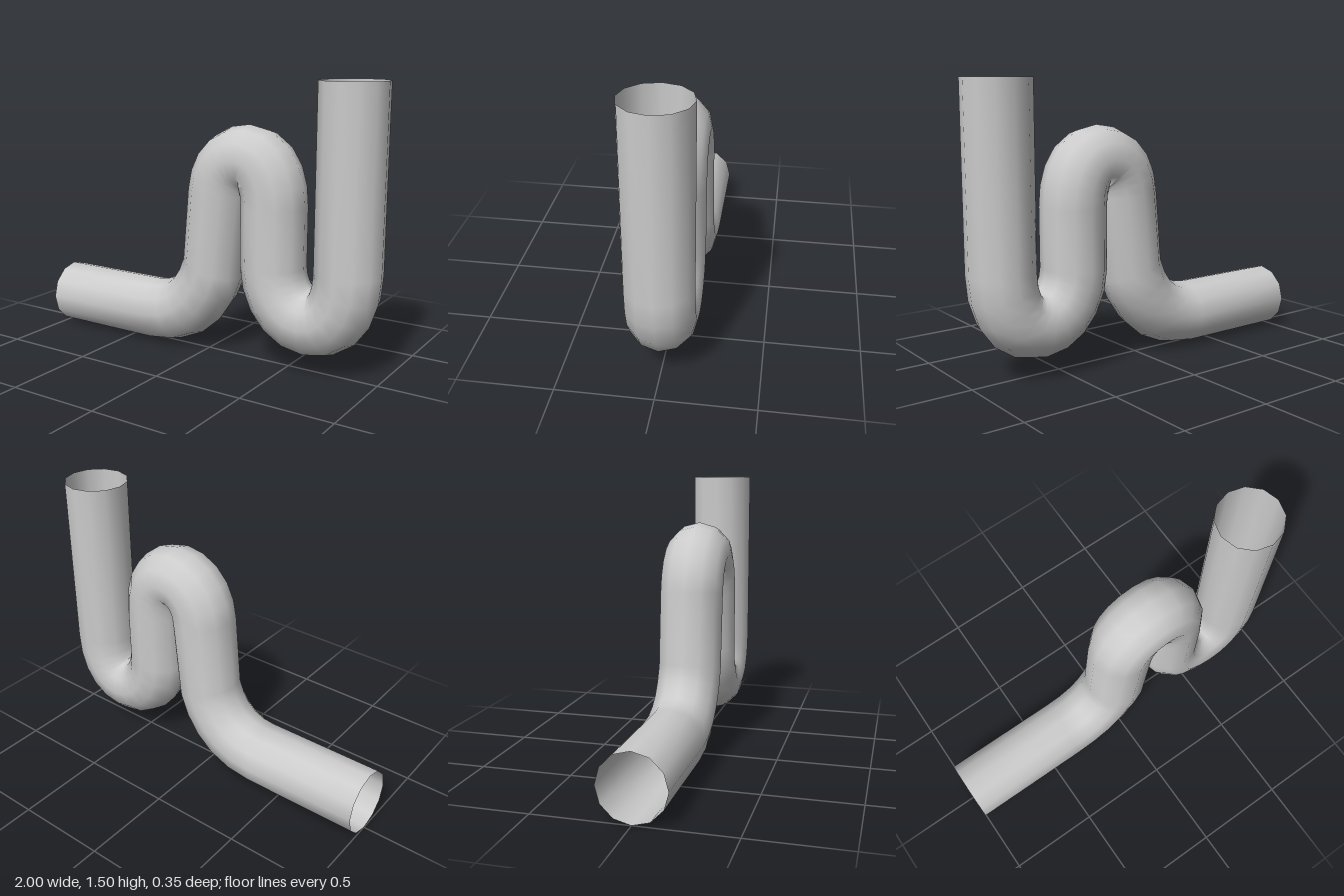
import * as THREE from 'three';

const RADIUS = 0.175;
const SIDES = 12;

// Bends of the centre line in the XY plane: [four Bezier points, steps]
const BENDS = [
  [[-0.35, 0.175], [-0.14, 0.175], [-0.02, 0.3], [0.033, 0.48], 5],      // elbow
  [[0.073, 0.9], [0.085, 1.02], [0.15, 1.09], [0.25, 1.09], 5],          // arch, rising
  [[0.25, 1.09], [0.34, 1.09], [0.4, 1.0], [0.4, 0.85], 5],              // arch, falling
  [[0.4, 0.53], [0.405, 0.38], [0.5, 0.265], [0.625, 0.265], 5],         // trap, falling
  [[0.625, 0.265], [0.745, 0.265], [0.825, 0.37], [0.825, 0.55], 5],     // trap, rising
];

// Centre points with tangents; straight runs span the gaps between bends
function centreLine() {
  const stations = [{ p: new THREE.Vector2(-1, 0.175), t: new THREE.Vector2(1, 0) }];
  for (const [a, b, c, d, steps] of BENDS) {
    const curve = new THREE.CubicBezierCurve(...[a, b, c, d].map(q => new THREE.Vector2(...q)));
    for (let i = 0; i <= steps; i++) {
      const p = curve.getPoint(i / steps);
      if (stations[stations.length - 1].p.distanceTo(p) < 1e-4) continue;
      stations.push({ p, t: curve.getTangent(i / steps) });
    }
  }
  stations.push({ p: new THREE.Vector2(0.825, 1.505), t: new THREE.Vector2(0, 1) });
  return stations;
}

// Open tube made of one ring of vertices per station
function tubeGeometry(stations) {
  const positions = [], index = [];
  stations.forEach(({ p, t }, i) => {
    for (let j = 0; j < SIDES; j++) {
      const a = (j / SIDES) * Math.PI * 2;
      const r = RADIUS * Math.cos(a);
      positions.push(p.x - t.y * r, p.y + t.x * r, RADIUS * Math.sin(a));
      if (i === stations.length - 1) continue;
      const k = (j + 1) % SIDES;
      const v0 = i * SIDES + j, v1 = i * SIDES + k;
      index.push(v0, v1, v0 + SIDES, v1, v1 + SIDES, v0 + SIDES);
    }
  });
  const geometry = new THREE.BufferGeometry();
  geometry.setAttribute('position', new THREE.Float32BufferAttribute(positions, 3));
  geometry.setIndex(index);
  geometry.computeVertexNormals();
  return geometry;
}

export function createModel() {
  const group = new THREE.Group();
  group.name = 'drainTrap';
  const material = new THREE.MeshStandardMaterial({ color: 0xcccccc, side: THREE.DoubleSide });
  const pipe = new THREE.Mesh(tubeGeometry(centreLine()), material);
  pipe.name = 'bentPipe';
  group.add(pipe);
  return group;
}
